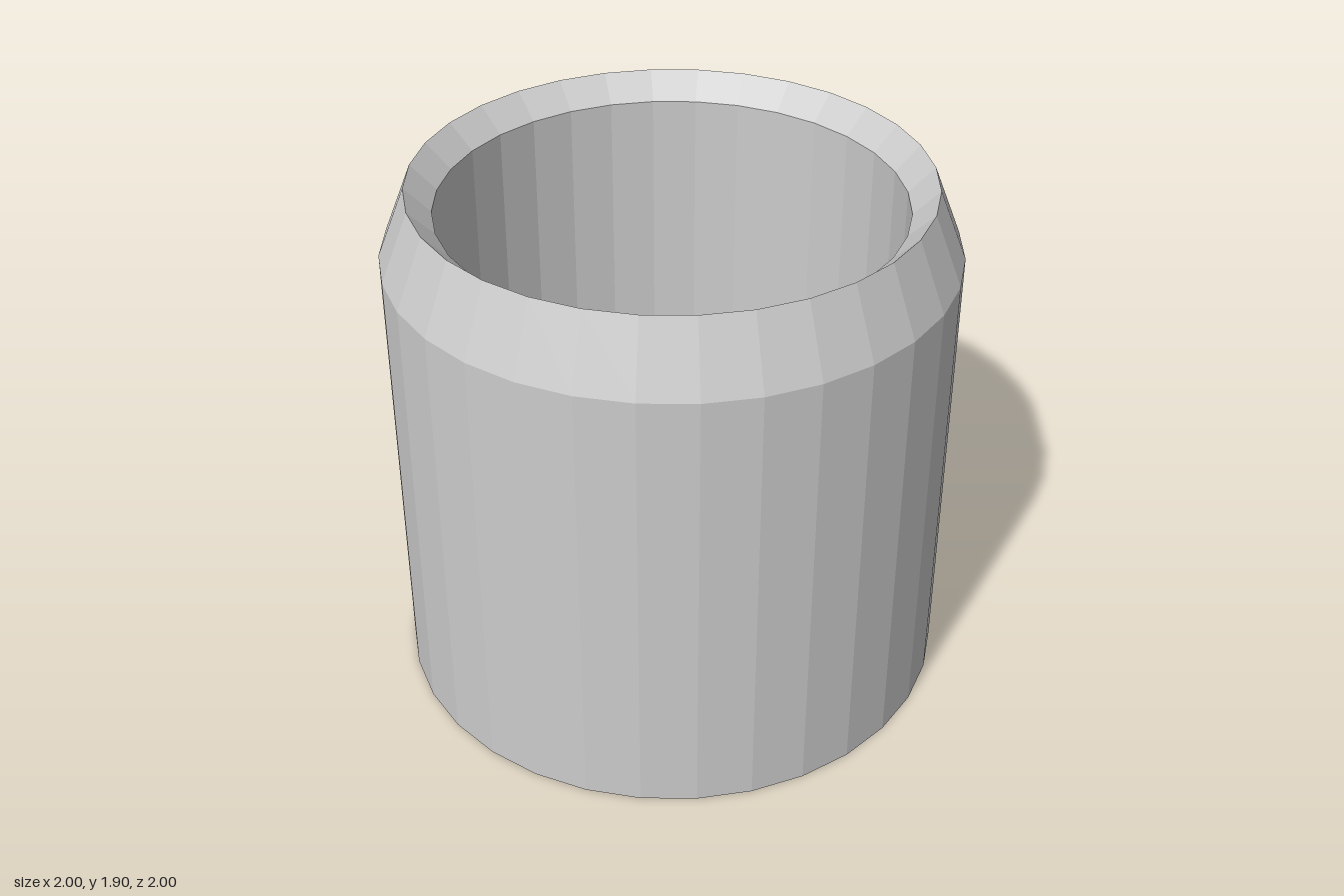
import * as THREE from 'three';

const SIDES = 32;

// Faceted ring surface turned from [radius, height] pairs
function turned(name, pairs, material) {
  const points = pairs.map(([r, y]) => new THREE.Vector2(r, y));
  const mesh = new THREE.Mesh(new THREE.LatheGeometry(points, SIDES), material);
  mesh.name = name;
  return mesh;
}

export function createModel() {
  const material = new THREE.MeshStandardMaterial({ color: 0xcccccc, flatShading: true });
  const cup = new THREE.Group();
  cup.name = 'cup';

  cup.add(
    // Base disc and straight outer wall
    turned('outerWall', [[0, 0], [1, 0], [1, 1.65]], material),
    // Sloping shoulder, sharp lip and inner chamfer
    turned('rim', [[1, 1.65], [0.9, 1.9], [0.81, 1.81]], material),
    // Straight bore down to a flat floor
    turned('innerWall', [[0.81, 1.81], [0.81, 0.1], [0, 0.1]], material),
  );
  return cup;
}
